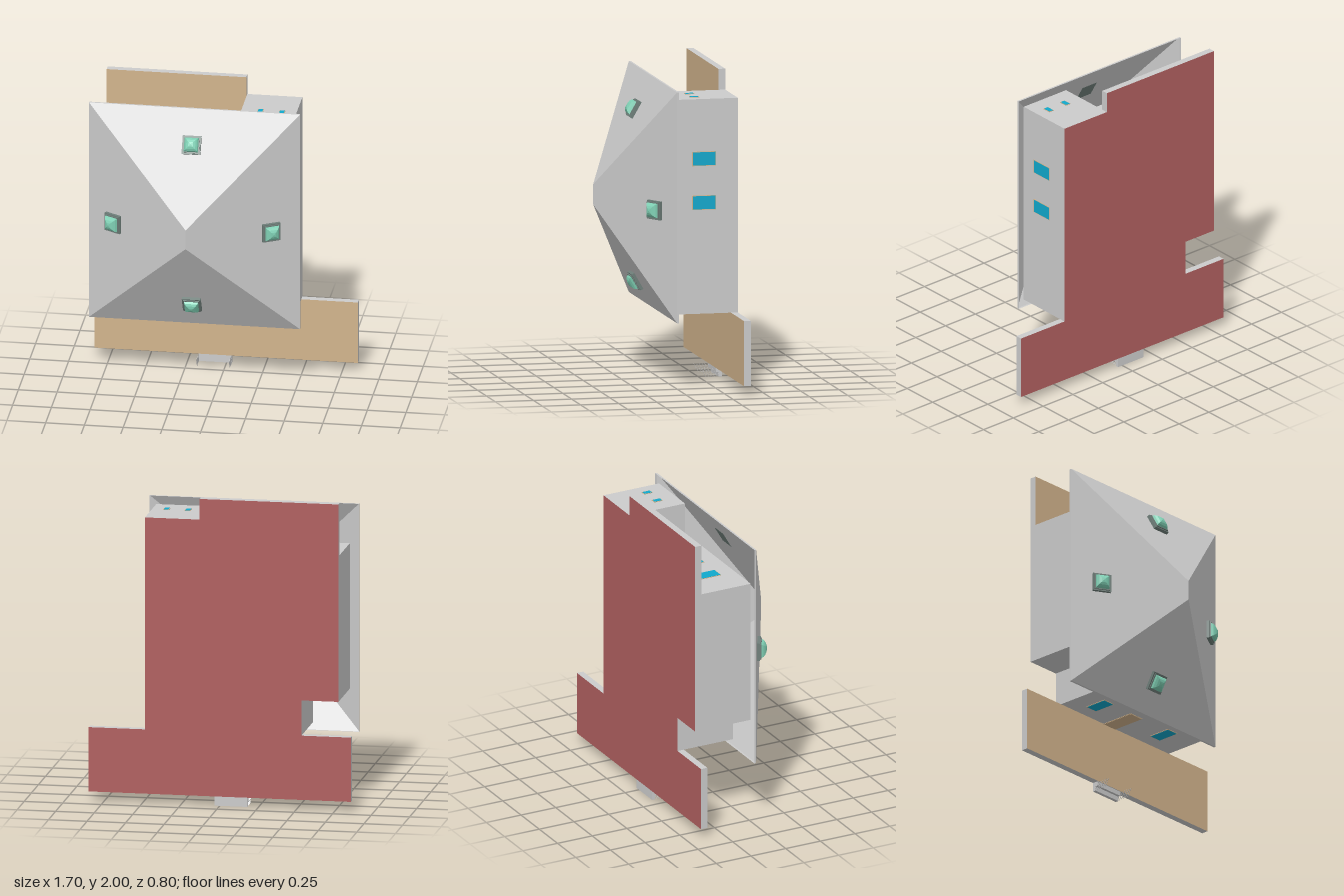
import * as THREE from 'three';

const mat = (color) => new THREE.MeshStandardMaterial({ color, flatShading: true });
const grey = mat(0xcccccc), tan = mat(0xd2b48c), red = mat(0xb05f5f);
const blue = mat(0x10a8cc), green = mat(0x7fd0b4), frameGrey = mat(0x6f7f7a);
const roofMat = mat(0xcccccc);
roofMat.side = THREE.DoubleSide;

function add(parent, name, geometry, material, x = 0, y = 0, z = 0) {
  const mesh = new THREE.Mesh(geometry, material);
  mesh.name = name;
  mesh.position.set(x, y, z);
  parent.add(mesh);
  return mesh;
}

// Extrudes a floor plan in the xy plane from z0 to z1
function plan(parent, name, points, z0, z1, material) {
  const shape = new THREE.Shape(points.map(([x, y]) => new THREE.Vector2(x, y)));
  const geometry = new THREE.ExtrudeGeometry(shape, { depth: z1 - z0, bevelEnabled: false });
  return add(parent, name, geometry, material, 0, 0, z0);
}

// Framed window or door set in a wall whose normal runs along the given axis
function opening(parent, name, axis, wall, c, w, z0, z1, paneMat) {
  const group = new THREE.Group();
  group.name = name;
  const h = z1 - z0, edge = 0.008;
  const slab = (part, a, b, t, m) => add(group, part,
    axis === 'x' ? new THREE.BoxGeometry(t, a, b) : new THREE.BoxGeometry(a, t, b), m);
  slab('frame', w, h, 0.006, tan);
  slab('pane', w - edge, h - edge, 0.009, paneMat);
  group.position.set(axis === 'x' ? wall : c, axis === 'x' ? c : wall, (z0 + z1) / 2);
  parent.add(group);
}

// Hipped shell roof: lower rim, upper rim and a short ridge
function roofGeometry() {
  const rect = (x0, x1, y0, y1, z) => [[x0, y0, z], [x1, y0, z], [x1, y1, z], [x0, y1, z]];
  const rings = [
    rect(-0.83, 0.53, 0.43, 1.92, -0.005),
    rect(-0.83, 0.53, 0.43, 1.92, 0.008),
    rect(-0.15, -0.15, 1.11, 1.24, 0.4),
  ];
  const pos = [];
  for (let r = 0; r < 2; r++) {
    for (let i = 0; i < 4; i++) {
      const j = (i + 1) % 4;
      const a = rings[r][i], b = rings[r][j], c = rings[r + 1][j], d = rings[r + 1][i];
      pos.push(...a, ...b, ...c);
      if (r === 0 || i % 2) pos.push(...a, ...c, ...d);
    }
  }
  const geometry = new THREE.BufferGeometry();
  geometry.setAttribute('position', new THREE.Float32BufferAttribute(pos, 3));
  geometry.computeVertexNormals();
  return geometry;
}

// Square skylight with a faceted dome, built standing on the xy plane
function skylight() {
  const group = new THREE.Group();
  group.name = 'skylight';
  add(group, 'curb', new THREE.BoxGeometry(0.12, 0.12, 0.02), frameGrey, 0, 0, 0.01);
  add(group, 'rim', new THREE.BoxGeometry(0.105, 0.105, 0.008), frameGrey, 0, 0, 0.024);
  const profile = [[0.066, 0], [0.058, 0.015], [0.042, 0.026], [0.022, 0.033], [0, 0.036]]
    .map(([r, h]) => new THREE.Vector2(r, h));
  const dome = new THREE.LatheGeometry(profile, 4, Math.PI / 4).rotateX(Math.PI / 2);
  add(group, 'dome', dome, green, 0, 0, 0.026);
  return group;
}

export function createModel() {
  const model = new THREE.Group();
  model.name = 'house';

  // Foundation with front deck, rear patio and corner notch
  const base = [
    [-0.85, 0.06], [0.85, 0.06], [0.85, 0.48], [0.485, 0.48], [0.485, 1.865], [0.13, 1.865],
    [0.13, 2], [-0.77, 2], [-0.77, 0.71], [-0.53, 0.71], [-0.53, 0.48], [-0.85, 0.48],
  ];
  plan(model, 'foundation', base, -0.398, -0.355, [tan, grey]);
  plan(model, 'underside', base, -0.4, -0.398, [red, grey]);

  // Wall block
  plan(model, 'walls', [
    [-0.53, 0.48], [0.485, 0.48], [0.485, 1.865], [0.13, 1.865],
    [0.13, 1.66], [-0.77, 1.66], [-0.77, 0.71], [-0.53, 0.71],
  ], -0.397, 0, grey);

  // Windows and doors
  for (const y of [1.48, 1.197]) opening(model, 'sideWindow', 'x', 0.485, y, 0.15 * 0.62, -0.255, -0.1, blue);
  for (const x of [-0.52, -0.292]) opening(model, 'rearWindow', 'y', 1.66, x, 0.09, -0.26, -0.105, blue);
  for (const x of [0.253, 0.392]) opening(model, 'smallWindow', 'y', 1.865, x, 0.038, -0.165, -0.105, blue);
  for (const x of [-0.35, 0.25]) opening(model, 'frontWindow', 'y', 0.48, x, 0.09, -0.26, -0.105, blue);
  opening(model, 'rearDoor', 'y', 1.66, -0.13, 0.11, -0.36, -0.125, tan);
  opening(model, 'frontDoor', 'y', 0.48, -0.075, 0.11, -0.355, -0.12, tan);

  // Roof
  add(model, 'roof', roofGeometry(), roofMat);

  // One skylight on each slope, tilted to match it
  const pitch = Math.atan2(0.392, 0.68);
  for (const [x, y, rx, ry] of [
    [-0.15, 1.715, -1, 0], [-0.15, 0.615, 1, 0], [0.355, 1.14, 0, 1], [-0.655, 1.14, 0, -1],
  ]) {
    const light = skylight();
    const run = rx ? Math.min(1.92 - y, y - 0.43) : Math.min(0.53 - x, x + 0.83);
    light.position.set(x, y, 0.008 + run * 0.576);
    light.rotation.set(rx * pitch, ry * pitch, 0);
    model.add(light);
  }

  // Entry steps
  for (let i = 0; i < 2; i++) {
    const depth = 0.04 - i * 0.018;
    add(model, 'step', new THREE.BoxGeometry(0.215, 0.03, depth), grey, -0.0725, 0.045 - i * 0.03, -0.4 + depth / 2);
  }

  // Sloping stair rails on both sides
  const rail = new THREE.BoxGeometry(0.003, Math.hypot(0.053, 0.032), 0.002);
  for (const x of [-0.178, 0.033]) {
    for (let i = 0; i < 6; i++) {
      const mesh = add(model, 'stairRail', rail, grey, x, 0.028, -0.281 - i * 0.018);
      mesh.rotation.x = Math.atan2(0.032, 0.053);
    }
  }
  return model;
}
